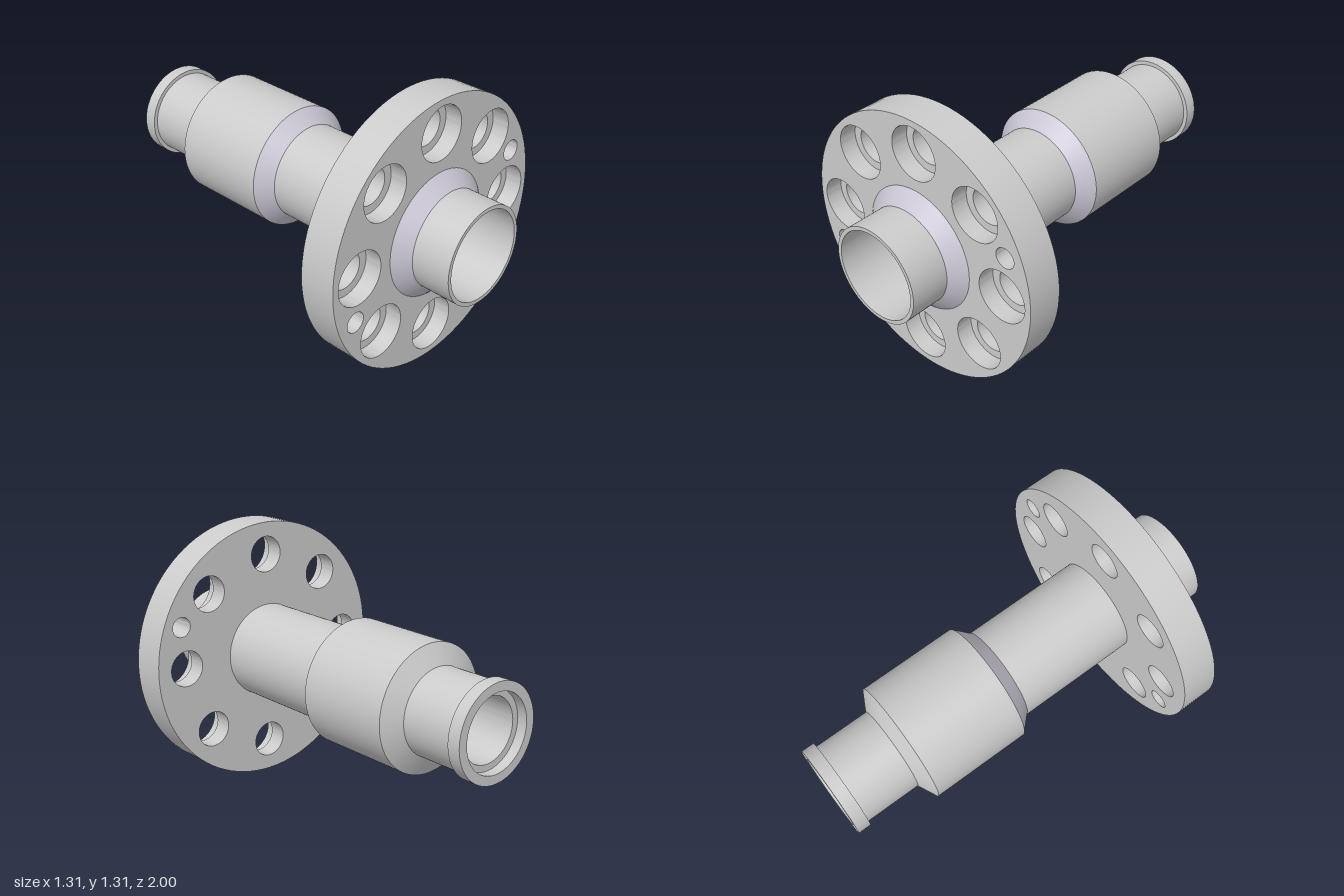
import * as THREE from 'three';
import { toCreasedNormals } from 'three/addons/utils/BufferGeometryUtils.js';

const AXIS_Y = 0.657;
const grey = new THREE.MeshStandardMaterial({ color: 0xcccccc });
const tinted = new THREE.MeshStandardMaterial({ color: 0xcac6d4 });

// Surface turned about the z axis from [radius, z] points; rising z faces outward, falling z faces inward
function turned(name, profile, material = grey, segments = 96) {
  const points = profile.map(([r, z]) => new THREE.Vector2(r, z));
  const geometry = new THREE.LatheGeometry(points, segments).rotateX(Math.PI / 2);
  const mesh = new THREE.Mesh(toCreasedNormals(geometry, Math.PI / 7), material);
  mesh.name = name;
  return mesh;
}

// Flat disc face with round holes given as [x, y, radius]
function plate(name, radius, holes) {
  const shape = new THREE.Shape().absarc(0, 0, radius, 0, Math.PI * 2, false);
  for (const [x, y, r] of holes) {
    shape.holes.push(new THREE.Path().absarc(x, y, r, 0, Math.PI * 2, true));
  }
  const mesh = new THREE.Mesh(new THREE.ShapeGeometry(shape, 48), grey);
  mesh.name = name;
  return mesh;
}

function createFlange() {
  const flange = new THREE.Group();
  flange.name = 'flange';
  const R = 0.655, front = 0.74, back = 0.56, step = 0.655;
  const boltR = 0.09, sinkR = 0.13, pinR = 0.05, pipeR = 0.236;

  // Eight counterbored bolt holes
  const bolts = [];
  for (let i = 0; i < 8; i++) {
    const a = i * Math.PI / 4;
    bolts.push([0.493 * Math.cos(a), 0.493 * Math.sin(a)]);
  }
  // Two opposite pin holes
  const pins = [1, -1].map(s => [0.515 * s, 0.213 * s]);

  const holes = r => [
    [0, 0, pipeR],
    ...bolts.map(([x, y]) => [x, y, r]),
    ...pins.map(([x, y]) => [x, y, pinR]),
  ];
  const frontFace = plate('flangeFrontFace', R, holes(sinkR));
  frontFace.position.z = front;
  // The back face is turned about x, so its holes are mirrored in y
  const backFace = plate('flangeBackFace', R, holes(boltR).map(([x, y, r]) => [x, -y, r]));
  backFace.rotation.x = Math.PI;
  backFace.position.z = back;
  flange.add(frontFace, backFace, turned('flangeRim', [[R, back], [R, front]]));

  for (const [x, y] of bolts) {
    const hole = turned('boltHole', [[sinkR, front], [sinkR, step], [boltR, step], [boltR, back]]);
    hole.position.set(x, y, 0);
    flange.add(hole);
  }
  for (const [x, y] of pins) {
    const hole = turned('pinHole', [[pinR, front], [pinR, back]]);
    hole.position.set(x, y, 0);
    flange.add(hole);
  }
  return flange;
}

export function createModel() {
  const model = new THREE.Group();
  model.name = 'flangedPipe';
  model.add(
    createFlange(),
    // Outer surfaces, front to back
    turned('frontPipe', [[0.236, 0.805], [0.236, 1], [0.217, 1]]),
    turned('flangeCone', [[0.305, 0.74], [0.236, 0.805]], tinted),
    turned('middlePipe', [[0.236, -0.04], [0.236, 0.56]]),
    turned('bodyCone', [[0.305, -0.11], [0.236, -0.04]], tinted),
    turned('body', [[0.21, -0.655], [0.305, -0.605], [0.305, -0.11]]),
    turned('neck', [[0.21, -0.935], [0.21, -0.655]]),
    turned('endCollar', [[0.185, -1], [0.23, -1], [0.23, -0.935], [0.21, -0.935]]),
    // Wide front bore, taper, narrow bore and the recess at the back end
    turned('bore', [[0.217, 1], [0.217, -0.04], [0.153, -0.11], [0.153, -0.95], [0.185, -0.95], [0.185, -1]]),
  );
  model.position.y = AXIS_Y;
  const root = new THREE.Group();
  root.name = 'model';
  root.add(model);
  return root;
}
